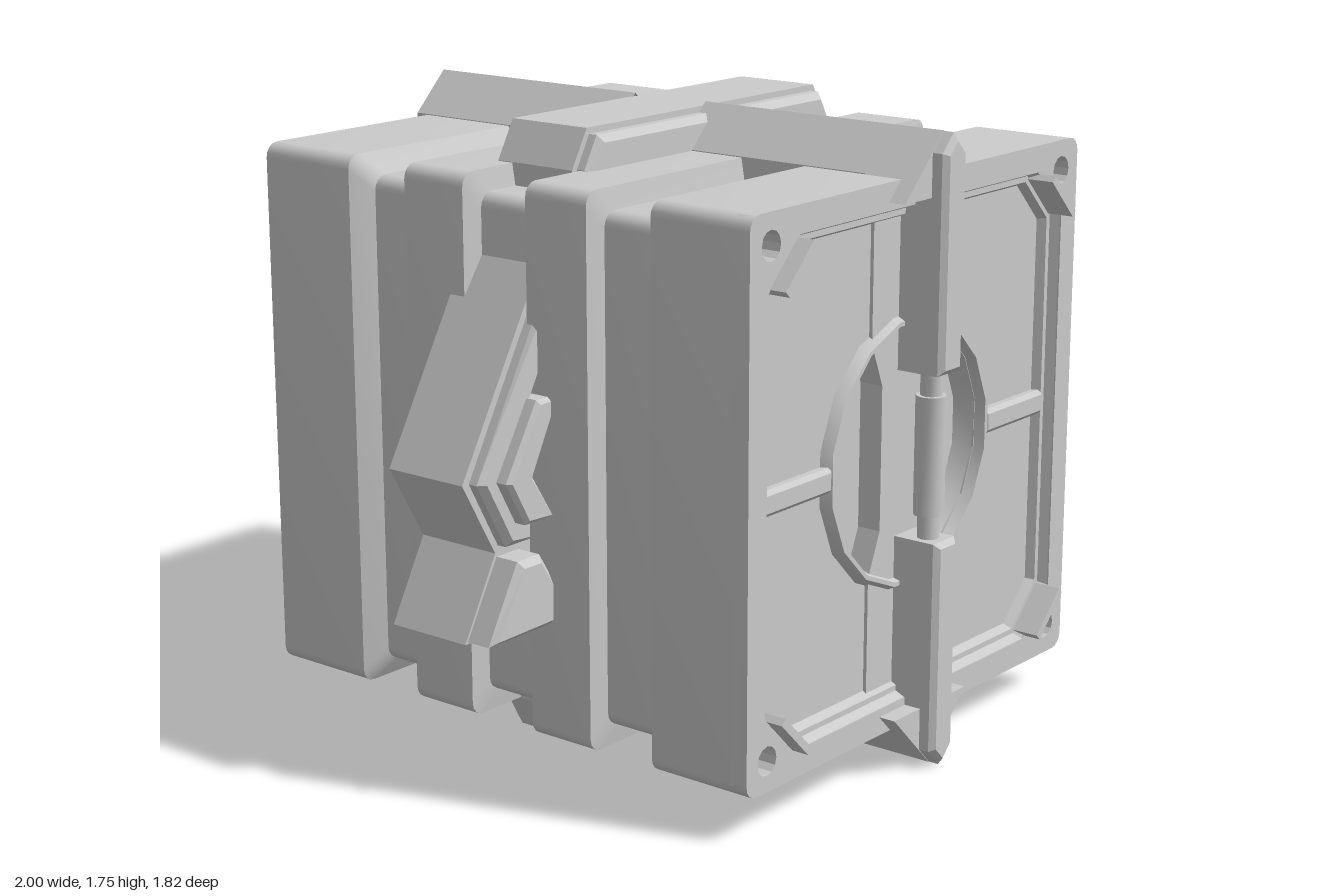
import * as THREE from 'three';
import { toCreasedNormals } from 'three/addons/utils/BufferGeometryUtils.js';

const C = 0.8725; // height of the centre line
const mat = new THREE.MeshStandardMaterial({ color: 0xcccccc, flatShading: true, side: THREE.DoubleSide });
const smoothMat = new THREE.MeshStandardMaterial({ color: 0xcccccc, side: THREE.DoubleSide });

export function createModel() {
  const root = new THREE.Group();
  const body = new THREE.Group();
  body.name = 'crate';
  body.position.y = C;
  root.add(body);

  const add = (name, geo, material = mat) => {
    const m = new THREE.Mesh(geo, material);
    m.name = name;
    body.add(m);
    return m;
  };
  const poly = (pts) => new THREE.Shape(pts.map(([x, y]) => new THREE.Vector2(x, y)));
  // Extrude a front outline from z0 to z1, with an optional inward bevel at both ends
  const slab = (name, shape, z0, z1, bevel = 0) => {
    const geo = new THREE.ExtrudeGeometry(shape, {
      depth: z1 - z0 - 2 * bevel, bevelEnabled: bevel > 0, bevelSize: bevel,
      bevelThickness: bevel, bevelOffset: -bevel, bevelSegments: 1, curveSegments: 6,
    });
    geo.translate(0, 0, z0 + bevel);
    return add(name, geo);
  };
  const same = (pts) => pts;
  const mirror = (pts) => pts.map(([x, y]) => [-x, y]);
  const flip = (pts) => pts.map(([x, y]) => [x, -y]);

  // Outline helpers
  const roundedLoop = (h, r = 0.04, n = 4) => {
    const out = [];
    for (let q = 0; q < 4; q++) {
      const sx = [1, -1, -1, 1][q], sy = [1, 1, -1, -1][q];
      for (let i = 0; i <= n; i++) {
        const a = (q + i / n) * Math.PI / 2;
        out.push([sx * (h - r) + r * Math.cos(a), sy * (h - r) + r * Math.sin(a)]);
      }
    }
    return out;
  };
  const octagon = (h, c) => [[h, h - c], [h - c, h], [c - h, h], [-h, h - c],
    [-h, c - h], [c - h, -h], [h - c, -h], [h, c - h]];
  const circle = (r, n = 16) => Array.from({ length: n }, (_, i) => {
    const a = (i + 0.5) * Math.PI * 2 / n;
    return [r * Math.cos(a), r * Math.sin(a)];
  });
  // Join matching outlines along z; each station is [z, outline]
  const loft = (name, stations) => {
    const pos = [];
    for (let s = 0; s < stations.length - 1; s++) {
      const [za, A] = stations[s], [zb, B] = stations[s + 1];
      A.forEach((p, i) => {
        const j = (i + 1) % A.length;
        const a = [...p, za], b = [...A[j], za], c = [...B[j], zb], d = [...B[i], zb];
        pos.push(...a, ...d, ...b, ...b, ...d, ...c);
      });
    }
    const geo = new THREE.BufferGeometry();
    geo.setAttribute('position', new THREE.Float32BufferAttribute(pos, 3));
    return add(name, toCreasedNormals(geo, 0.5), smoothMat);
  };

  // Ribbed shell, open at the back
  const profile = [[0.815, 0.755], [0.505, 0.755], [0.465, 0.695], [0.305, 0.695], [0.295, 0.755],
    [0.09, 0.755], [0.08, 0.695], [-0.12, 0.695], [-0.13, 0.755], [-0.34, 0.755],
    [-0.35, 0.695], [-0.51, 0.695], [-0.55, 0.755], [-0.87, 0.755]];
  loft('ribbedShell', profile.map(([z, h]) => [z, roundedLoop(h)]));

  // Front frame with octagonal opening and corner bolt holes
  const frame = poly(roundedLoop(0.755));
  frame.holes.push(poly(octagon(0.68, 0.13)));
  for (const sx of [-1, 1]) for (const sy of [-1, 1]) {
    const hole = new THREE.Path();
    hole.absarc(sx * 0.67, sy * 0.67, 0.04, 0, Math.PI * 2, true);
    frame.holes.push(hole);
  }
  slab('frontFrame', frame, 0.76, 0.815);

  // Sloped lips of the opening, recessed panel and round porthole
  loft('frameLip', [[0.76, octagon(0.64, 0.11)], [0.785, octagon(0.652, 0.118)],
    [0.785, octagon(0.668, 0.125)], [0.815, octagon(0.682, 0.13)]]);
  const panel = poly(roundedLoop(0.75));
  panel.holes.push(poly(circle(0.35)));
  slab('frontPanel', panel, 0.73, 0.76);
  slab('portholeFloor', poly(circle(0.36)), 0.68, 0.7);
  loft('portholeRim', [[0.7, circle(0.335)], [0.79, circle(0.36)],
    [0.79, circle(0.372)], [0.755, circle(0.39)]]);

  // Cross bars with sloped sides, and corner braces
  for (const s of [-1, 1]) {
    const x0 = s * 0.36, x1 = s * 0.66;
    slab('crossBar', poly([[x0, -0.035], [x1, -0.035], [x1, 0.035], [x0, 0.035]]), 0.73, 0.79, 0.012);
    for (const t of [-1, 1]) {
      const brace = add('cornerBrace', new THREE.BoxGeometry(0.16, 0.022, 0.09));
      brace.position.set(s * 0.61, t * 0.61, 0.82);
      brace.rotation.z = -s * t * Math.PI / 4;
    }
  }

  // Pointed spine with a narrowed waist, running through the shell
  const spine = (w, waist) => {
    const half = [[0, C], [w, C - w], [w, 0.32], [waist, 0.2]];
    const right = [...half, ...flip(half).reverse()];
    return [...right, ...mirror(right.slice(1, -1)).reverse()];
  };
  const narrow = spine(0.115, 0.08);
  loft('rearSpine', [[-0.91, narrow], [-0.17, narrow]]);
  loft('frontSpine', [[0.08, narrow], [0.77, narrow]]);
  slab('spineFace', poly(spine(0.17, 0.12)), 0.7, 0.77);

  // Spine end caps, latch bars and hinge pin
  for (const f of [same, flip]) {
    slab('spineCap', poly(f([[0, C], [0.17, C - 0.17], [-0.17, C - 0.17]])), 0.75, 0.865);
    slab('latchBar', poly(f([[0.05, 0.23], [0.05, 0.82], [0, 0.871], [-0.05, 0.82], [-0.05, 0.23]])), 0.75, 0.91, 0.015);
  }
  const pin = (name, r, h) => {
    const geo = toCreasedNormals(new THREE.CylinderGeometry(r, r, h, 12), 0.7);
    add(name, geo, smoothMat).position.set(0, 0, 0.845);
  };
  pin('hingeSleeve', 0.042, 0.33);
  pin('hingePin', 0.03, 0.47);

  // Hexagonal belt: top and bottom bars
  const beltBar = [[0.5, 0.862], [0.56, 0.757], [0.56, 0.67], [-0.56, 0.67], [-0.56, 0.757], [-0.5, 0.862]];
  const beltTrim = [[0.49, 0.845], [0.54, 0.757], [0.54, 0.69], [-0.54, 0.69], [-0.54, 0.757], [-0.49, 0.845]];
  for (const f of [same, flip]) {
    slab('beltBar', poly(f(beltBar)), -0.18, 0.08);
    slab('beltTrim', poly(f(beltTrim)), 0.05, 0.125, 0.02);
  }

  // Hexagonal belt: side claws with a thin web and raised layers
  const claw = [[0.66, 0.59], [1, 0], [0.88, -0.21], [1, -0.43], [0.66, -0.43],
    [0.66, -0.3], [0.78, -0.21], [0.86, 0], [0.66, 0.35]];
  const web = [[0.66, 0.45], [0.92, 0], [0.82, -0.21], [0.9, -0.38], [0.66, -0.38]];
  const clawTrim = [[0.7, 0.48], [0.975, 0], [0.87, -0.19], [0.77, -0.19], [0.88, 0], [0.7, 0.32]];
  const chevron = [[0.72, 0.2], [0.8, 0.2], [0.92, 0], [0.85, -0.125], [0.74, -0.125], [0.82, 0]];
  const lowerArm = [[0.875, -0.22], [0.99, -0.425], [0.7, -0.425], [0.7, -0.36], [0.79, -0.22]];
  for (const f of [same, mirror]) {
    slab('sideClaw', poly(f(claw)), -0.18, 0.08);
    slab('clawWeb', poly(f(web)), 0.03, 0.06);
    slab('clawTrim', poly(f(clawTrim)), 0.04, 0.125, 0.018);
    slab('clawChevron', poly(f(chevron)), 0.02, 0.17, 0.012);
    slab('clawLowerArm', poly(f(lowerArm)), 0.04, 0.17, 0.018);
  }
  return root;
}
